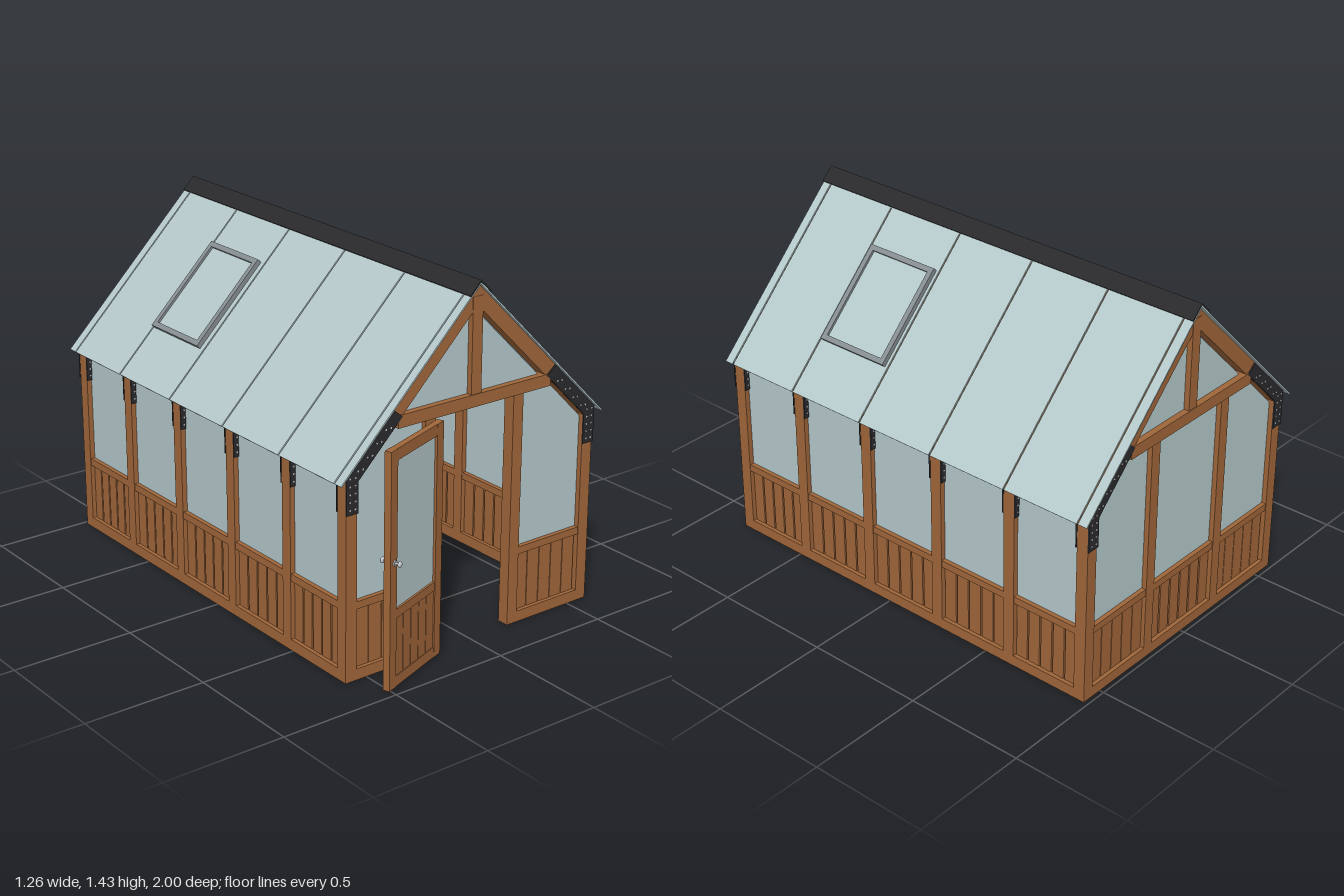
import * as THREE from 'three';
import { mergeGeometries } from 'three/addons/utils/BufferGeometryUtils.js';

const mat = (name, color) => Object.assign(new THREE.MeshStandardMaterial({ color }), { name });
const wood = mat('cedar wood', 0xa0663a);
const glass = mat('pale glass', 0xb5c8ca);
const black = mat('black metal', 0x2a2a2d);
const grey = mat('grey metal', 0x868e91);
const silver = mat('silver metal', 0xc4c8ca);

const H = 0.05;                       // timber thickness
const FRAME_Z = [0.8, 0.465, 0.105, -0.255, -0.615, -0.957];
const FRONT = FRAME_Z[0], BACK = FRAME_Z[5];

function add(parent, name, geo, material, x = 0, y = 0, z = 0) {
  const m = new THREE.Mesh(geo, material);
  m.name = name;
  m.position.set(x, y, z);
  parent.add(m);
  return m;
}

// Box given by its limits on x and y, and by centre and depth on z
function slab(parent, name, material, x0, x1, y0, y1, z, d) {
  return add(parent, name, new THREE.BoxGeometry(x1 - x0, y1 - y0, d), material, (x0 + x1) / 2, (y0 + y1) / 2, z);
}

// Flat polygon extruded about z; side = -1 mirrors it in x
function plate(parent, name, material, pts, side, z, d) {
  const shape = new THREE.Shape(pts.map(([x, y]) => new THREE.Vector2(x * side, y)));
  const geo = new THREE.ExtrudeGeometry(shape, { depth: d, bevelEnabled: false });
  geo.translate(0, 0, -d / 2);
  return add(parent, name, geo, material, 0, 0, z);
}

// Box lying on a roof slope: s runs down from the ridge, n is height above the surface
function slopeBox(parent, name, material, side, s0, s1, n0, n1, z0, z1) {
  const c = Math.SQRT1_2, s = (s0 + s1) / 2, n = (n0 + n1) / 2;
  const m = add(parent, name, new THREE.BoxGeometry(s1 - s0, n1 - n0, Math.abs(z1 - z0)), material,
    side * (s + n) * c, 1.42 + (n - s) * c, (z0 + z1) / 2);
  m.rotation.z = -side * Math.PI / 4;
  return m;
}

// Row of upright boards between two x limits
function boards(parent, x0, x1, n, gap, z, y0 = 0.045, y1 = 0.287) {
  const pitch = (x1 - x0) / n;
  for (let i = 0; i < n; i++)
    slab(parent, 'wallBoard', wood, x0 + i * pitch + gap / 2, x0 + (i + 1) * pitch - gap / 2, y0, y1, z, 0.018);
}

// Bolt heads for one corner plate, seen on both of its faces
function boltGeometry() {
  const spots = [];
  for (let i = 0; i < 5; i++) for (const x of [0.558, 0.582]) spots.push([x, 0.685 + i * 0.03]);
  for (let i = 0; i < 4; i++) {
    const x = 0.535 - i * 0.042;
    spots.push([x + 0.012, 1.362 - x], [x - 0.01, 1.364 - x]);
  }
  return mergeGeometries(spots.map(([x, y]) =>
    new THREE.CylinderGeometry(0.004, 0.004, 0.009, 6).rotateX(Math.PI / 2).translate(x, y, 0)));
}

// Posts, rafters and corner plates of one cross frame
function crossFrame(z, bolts) {
  const g = new THREE.Group();
  g.name = 'crossFrame';
  g.position.z = z;
  for (const s of [-1, 1]) {
    slab(g, 'post', wood, s * 0.57 - H / 2, s * 0.57 + H / 2, 0.045, 0.785, 0, H);
    plate(g, 'rafter', wood, [[0, 1.411], [0.595, 0.816], [0.595, 0.785], [0.545, 0.785], [0, 1.33]], s, 0, H);
    for (const f of [-1, 1]) {
      const zf = f * (H / 2 + 0.003);
      plate(g, 'cornerPlate', black,
        [[0.543, 0.665], [0.597, 0.665], [0.597, 0.812], [0.388, 1.021], [0.346, 0.986], [0.543, 0.789]], s, zf, 0.006);
      const b = add(g, 'plateBolts', bolts, silver, 0, 0, zf);
      if (s < 0) b.rotation.y = Math.PI;
    }
  }
  return g;
}

// Gable end; the front one leaves the doorway open
function gableEnd(z, open) {
  const g = new THREE.Group();
  g.name = open ? 'frontWall' : 'backWall';
  g.position.z = z;
  slab(g, 'collarBeam', wood, -0.365, 0.365, 0.943, 0.992, 0, 0.06);
  slab(g, 'kingPost', wood, -0.024, 0.024, 0.99, 1.365, 0, 0.054);
  for (const s of [-1, 1]) {
    const span = (a, b) => (s > 0 ? [a, b] : [-b, -a]);
    slab(g, 'doorPost', wood, ...span(0.187, 0.235), 0.045, 0.944, 0, H);
    slab(g, 'midRail', wood, ...span(0.235, 0.546), 0.285, 0.315, 0, 0.045);
    boards(g, ...span(0.235, 0.54), 5, 0.003, 0);
    plate(g, 'wallGlass', glass,
      [[0.235, 0.31], [0.545, 0.31], [0.545, 0.775], [0.378, 0.944], [0.235, 0.944]], s, 0, 0.008);
    plate(g, 'gableGlass', glass, [[0.024, 0.992], [0.322, 0.992], [0.024, 1.29]], s, 0, 0.008);
    if (open) slab(g, 'sill', wood, ...span(0.187, 0.546), 0, 0.045, 0, H);
  }
  if (!open) {
    slab(g, 'sill', wood, -0.546, 0.546, 0, 0.045, 0, H);
    slab(g, 'midRail', wood, -0.187, 0.187, 0.285, 0.315, 0, 0.045);
    boards(g, -0.187, 0.187, 6, 0.008, 0);
    slab(g, 'wallGlass', glass, -0.187, 0.187, 0.31, 0.944, 0, 0.008);
  }
  return g;
}

function sideWall(side) {
  const g = new THREE.Group();
  g.name = side > 0 ? 'leftWall' : 'rightWall';
  g.position.x = side * 0.57;
  g.rotation.y = -Math.PI / 2;        // local x runs along world z
  slab(g, 'sill', wood, BACK - H / 2, FRONT + H / 2, 0, 0.045, 0, H);
  for (let i = 0; i < 5; i++) {
    const a = FRAME_Z[i + 1] + H / 2, b = FRAME_Z[i] - H / 2;
    slab(g, 'midRail', wood, a, b, 0.285, 0.315, 0, 0.045);
    boards(g, a, b, 5, 0.007, 0);
    slab(g, 'wallGlass', glass, a, b, 0.31, 0.8, 0, 0.008);
  }
  return g;
}

// Raised roof window frame with its pane
function roofVent(side, z0, z1) {
  const g = new THREE.Group();
  g.name = 'roofVent';
  const a = 0.235, b = 0.655, w = 0.022;
  slopeBox(g, 'ventPane', glass, side, a + w, b - w, 0.002, 0.01, z0 + w, z1 - w);
  for (const [s0, s1] of [[a, a + w], [b - w, b]]) slopeBox(g, 'ventRail', grey, side, s0, s1, 0, 0.02, z0, z1);
  for (const [p, q] of [[z0, z0 + w], [z1 - w, z1]]) slopeBox(g, 'ventStile', grey, side, a + w, b - w, 0, 0.02, p, q);
  return g;
}

function roof() {
  const g = new THREE.Group();
  g.name = 'roof';
  const edges = [0.84, ...FRAME_Z, -1];
  for (const s of [-1, 1]) {
    for (let i = 0; i < edges.length - 1; i++)
      slopeBox(g, 'roofGlass', glass, s, 0, 0.89, -0.006, 0, edges[i] - (i ? 0.003 : 0), edges[i + 1] + (i < 6 ? 0.003 : 0));
    slopeBox(g, 'ridgeCap', black, s, -0.004, 0.066, 0, 0.006, 0.842, -1);
  }
  g.add(roofVent(1, 0.12, 0.45), roofVent(-1, -0.605, -0.28));
  return g;
}

// Door swung open; local x runs from the hinge to the free edge
function door() {
  const g = new THREE.Group();
  g.name = 'door';
  g.position.set(-0.183, 0, 0.846);
  g.rotation.y = Math.PI + 0.35;
  const d = 0.028, w = 0.045, L = 0.362;
  slab(g, 'doorStile', wood, 0, w, 0.01, 0.94, 0, d);
  slab(g, 'doorStile', wood, L - w, L, 0.01, 0.94, 0, d);
  for (const [y0, y1] of [[0.01, 0.052], [0.285, 0.32], [0.895, 0.94]])
    slab(g, 'doorRail', wood, w, L - w, y0, y1, 0, d - 0.003);
  boards(g, w, L - w, 5, 0.003, 0, 0.05);
  slab(g, 'doorGlass', glass, w, L - w, 0.318, 0.897, 0, 0.008);
  for (const y of [0.15, 0.5, 0.82]) slab(g, 'hinge', black, -0.01, 0.004, y - 0.025, y + 0.025, 0.012, 0.01);
  // Knobs on both faces
  const x = L - w / 2 - 0.005;
  add(g, 'knobSpindle', new THREE.CylinderGeometry(0.005, 0.005, 0.07, 12).rotateX(Math.PI / 2), silver, x, 0.51, 0);
  for (const s of [-1, 1]) {
    add(g, 'knobRose', new THREE.CylinderGeometry(0.011, 0.011, 0.006, 16).rotateX(Math.PI / 2), silver, x, 0.51, s * 0.016);
    add(g, 'knob', new THREE.SphereGeometry(0.012, 16, 10).scale(1, 1, 0.6), silver, x, 0.51, s * 0.036);
  }
  return g;
}

export function createModel() {
  const model = new THREE.Group();
  model.name = 'greenhouse';
  const bolts = boltGeometry();
  for (const z of FRAME_Z) model.add(crossFrame(z, bolts));
  model.add(gableEnd(FRONT, true), gableEnd(BACK, false), sideWall(1), sideWall(-1), roof(), door());
  return model;
}
